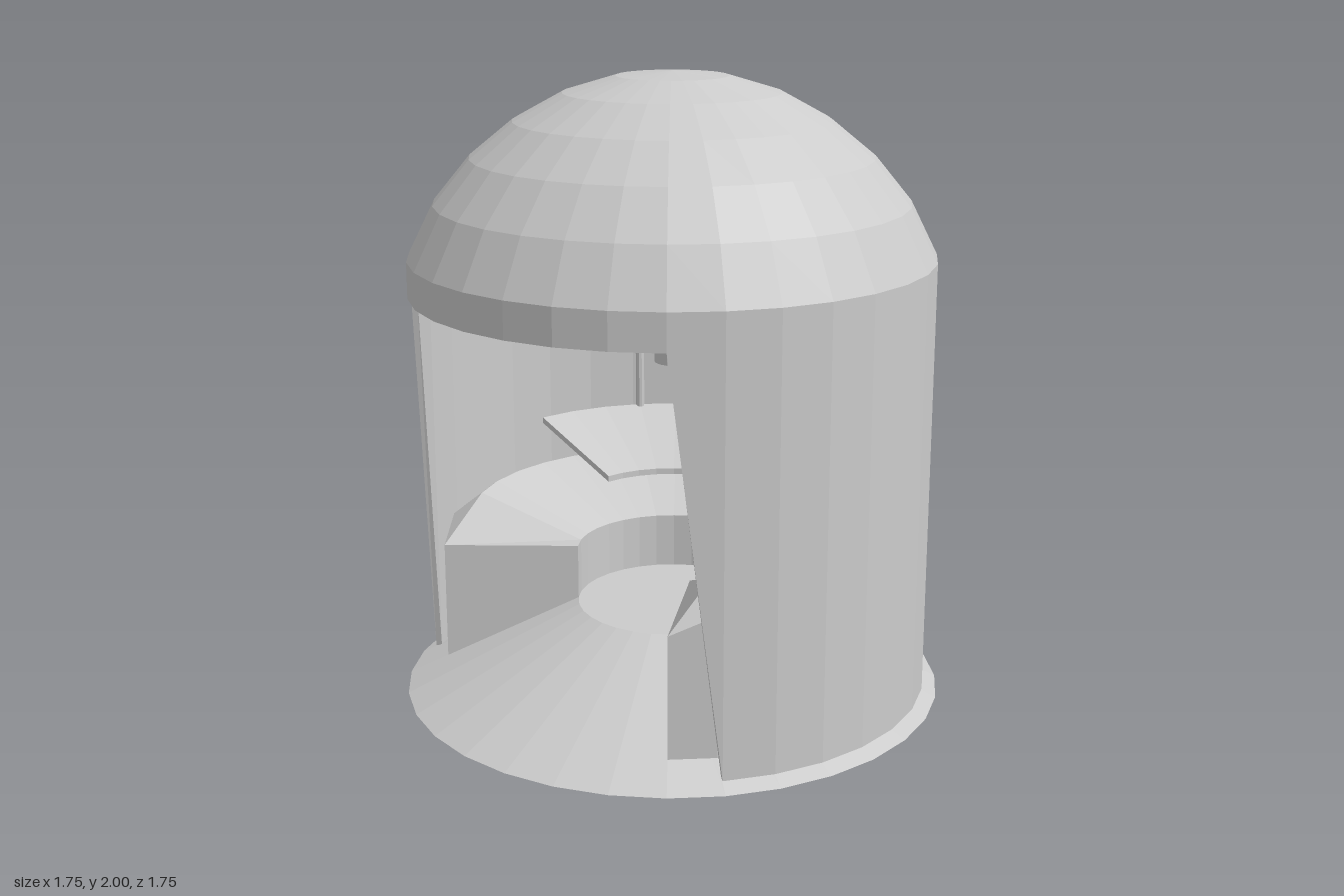
import * as THREE from 'three';

const SEG = 32, STEP = (Math.PI * 2) / SEG;
const mat = new THREE.MeshStandardMaterial({ color: 0xcccccc, flatShading: true });

function add(parent, name, geo, x = 0, y = 0, z = 0) {
  const m = new THREE.Mesh(geo, mat);
  m.name = name;
  m.position.set(x, y, z);
  parent.add(m);
  return m;
}

// Full revolution of an [r, y] profile
const lathe = (pts) => new THREE.LatheGeometry(pts.map(([r, y]) => new THREE.Vector2(r, y)), SEG);

// Closed, capped sector: profileAt(isEnd) gives a counter-clockwise [r, y] loop for each step
function sector(from, to, profileAt) {
  const pos = [], idx = [], n = profileAt(false).length, count = to - from;
  for (let i = 0; i <= count; i++) {
    const a = (from + i) * STEP;
    for (const [r, y] of profileAt(i === 0 || i === count)) pos.push(r * Math.sin(a), y, r * Math.cos(a));
  }
  for (let i = 0; i < count; i++) {
    for (let j = 0; j < n; j++) {
      const k = (j + 1) % n;
      const a = i * n + j, b = a + n, c = (i + 1) * n + k, d = i * n + k;
      // diagonals mirrored left to right
      if (i < count / 2) idx.push(a, b, c, a, c, d);
      else idx.push(a, b, d, c, d, b);
    }
  }
  const last = count * n;
  for (let j = 1; j < n - 1; j++) {
    idx.push(0, j, j + 1);
    idx.push(last, last + j + 1, last + j);
  }
  const g = new THREE.BufferGeometry();
  g.setAttribute('position', new THREE.Float32BufferAttribute(pos, 3));
  g.setIndex(idx);
  g.computeVertexNormals();
  return g;
}

// Thin rod between two points
function rod(parent, name, a, b, r) {
  const dir = b.clone().sub(a);
  const m = add(parent, name, new THREE.CylinderGeometry(r, r, dir.length(), 10));
  m.position.copy(a).addScaledVector(dir, 0.5);
  m.quaternion.setFromUnitVectors(new THREE.Vector3(0, 1, 0), dir.normalize());
}

export function createModel() {
  const model = new THREE.Group();
  model.name = 'roundCabin';

  // Sloped floor with a raised flat centre and closed underside
  add(model, 'floor', lathe([[0, 0], [0.875, 0], [0.31, 0.27], [0, 0.27]]));

  // Cylindrical wall whose doorway edges lean outward toward the floor
  const top = 1.315;
  add(model, 'wall', sector(4, 28, (end) => {
    const y = end ? top : 0.025;
    return [[0.83, y], [0.83, top], [0.81, top], [0.81, y]];
  }));

  // Domed roof shell with its upper band
  const dome = [[0.83, 1.43], [0.745, 1.6], [0.63, 1.74], [0.495, 1.85], [0.34, 1.935], [0.175, 1.985], [0, 2]];
  const lining = dome.map(([r, y]) => [r * 0.976, y - 0.02]).reverse();
  add(model, 'roof', lathe([[0.83, top], ...dome, ...lining, [0.81, top], [0.83, top]]));

  // Ring bench with bevelled ends, open at the front
  add(model, 'bench', sector(4, 28, (end) => {
    const rim = end
      ? [[0.75, 0.45], [0.75, 0.45], [0.75, 0.45]]
      : [[0.75, 0.51], [0.70, 0.55], [0.65, 0.59]];
    return [[0.31, 0.26], [0.75, 0.055], ...rim, [0.31, 0.45]];
  }));

  // Sloped half-ring table around the back
  add(model, 'table', sector(8, 24, () => [[0.31, 0.6], [0.65, 0.735], [0.65, 0.755], [0.31, 0.62]]));

  // Mirrored poles with wall brackets, and hanging canisters
  for (const s of [1, -1]) {
    const side = new THREE.Group();
    side.name = s > 0 ? 'leftFittings' : 'rightFittings';
    model.add(side);
    const at = (r, y) => new THREE.Vector3(s * r * Math.sin(11 * STEP), y, r * Math.cos(11 * STEP));
    rod(side, 'pole', at(0.65, 0.57), at(0.65, 1.21), 0.015);
    for (const y of [1.05, 1.21]) {
      rod(side, 'bracket', at(0.63, y), at(0.815, y), 0.011);
      for (const r of [0.635, 0.675]) {
        const p = at(r, y);
        add(side, 'bracketKnob', new THREE.SphereGeometry(0.018, 10, 8), p.x, p.y, p.z);
      }
    }
    add(side, 'canister', new THREE.CylinderGeometry(0.075, 0.075, 0.5, 16), s * 0.437, 1.17, -0.437);
  }
  return model;
}
